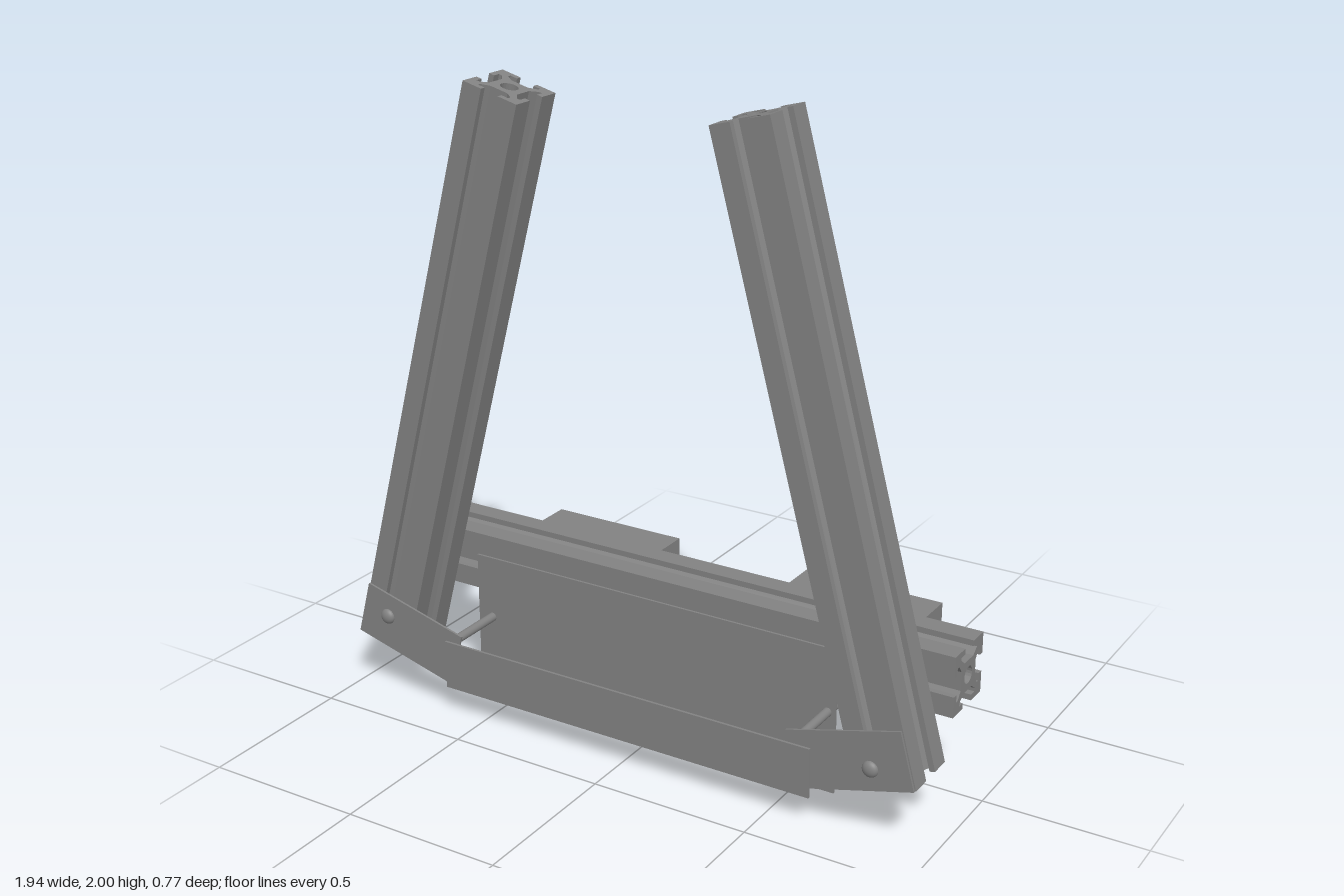
import * as THREE from 'three';

const S = 0.186; // width of the slotted bar
const LEAN = Math.PI / 12;

// Cross-section of a bar with a T-slot on each side and a round bore
function barShape() {
  const u = S / 20;
  const side = [[-10, 10], [-3.1, 10], [-3.1, 8.1], [-5.6, 8.1], [-5.6, 7], [-3.1, 5.1],
    [3.1, 5.1], [5.6, 7], [5.6, 8.1], [3.1, 8.1], [3.1, 10]];
  const pts = [];
  for (let k = 0; k < 4; k++) {
    const c = Math.cos(k * Math.PI / 2), s = Math.sin(k * Math.PI / 2);
    for (const [x, y] of side) pts.push(new THREE.Vector2((x * c + y * s) * u, (y * c - x * s) * u));
  }
  const shape = new THREE.Shape(pts);
  shape.holes.push(new THREE.Path().absarc(0, 0, 2.8 * u, 0, Math.PI * 2, false));
  return shape;
}

export function createModel() {
  const model = new THREE.Group();
  const grey = new THREE.MeshStandardMaterial({ color: 0x828282 });

  const add = (name, geometry, x, y, z, tilt = 0) => {
    const mesh = new THREE.Mesh(geometry, grey);
    mesh.name = name;
    mesh.position.set(x, y, z);
    mesh.rotation.z = tilt;
    model.add(mesh);
  };
  const box = (w, h, d) => new THREE.BoxGeometry(w, h, d);
  const bar = (length) => new THREE.ExtrudeGeometry(barShape(),
    { depth: length, bevelEnabled: false, curveSegments: 10 }).translate(0, 0, -length / 2);
  // Round part running along z, from z0 to z1
  const round = (name, r0, r1, x, y, z0, z1) =>
    add(name, new THREE.CylinderGeometry(r1, r0, z1 - z0, 20).rotateX(Math.PI / 2), x, y, (z0 + z1) / 2);

  // Leaning posts and the cross beam behind them
  add('leftPost', bar(1.86).rotateX(-Math.PI / 2), 0.625, 1.077, 0.272, LEAN);
  add('rightPost', bar(1.86).rotateX(-Math.PI / 2), -0.642, 1.065, 0.272, -LEAN);
  add('crossBeam', bar(1.86).rotateY(Math.PI / 2), 0.042, 0.436, 0.086);

  // Thin sheets: back panel, front strip and tilted end plates
  add('backPanel', box(1.257, 0.46, 0.007), -0.012, 0.23, 0.183);
  add('frontStrip', box(1.265, 0.155, 0.008), 0.004, 0.167, 0.377);
  add('leftEndPlate', box(0.363, 0.178, 0.007), 0.754, 0.241, 0.3695, LEAN);
  add('rightEndPlate', box(0.368, 0.178, 0.007), -0.772, 0.232, 0.3695, -LEAN);

  // Domed bolt heads on the end plates
  for (const [name, x, y] of [['leftBolt', 0.82, 0.235], ['rightBolt', -0.856, 0.27]]) {
    const dome = new THREE.SphereGeometry(0.025, 20, 8, 0, Math.PI * 2, 0, Math.PI / 2);
    add(name, dome.rotateX(Math.PI / 2).scale(1, 1, 0.65), x, y, 0.372);
  }

  // Rear boxes, each with tapered bosses and a thin rod to the end plate
  for (const [side, x, z, s] of [['left', 0.448, -0.2, 1], ['right', -0.484, -0.195, -1]]) {
    const face = z + 0.185;
    add(side + 'RearBox', box(0.465, 0.19, 0.37), x, 0.295, z);
    for (const dx of [-0.14, -0.04])
      round(side + 'Boss', 0.045, 0.03, x + s * dx, 0.308, face, 0.125);
    round(side + 'Rod', 0.014, 0.014, s * 0.59, 0.258, face, 0.368);
  }
  return model;
}
